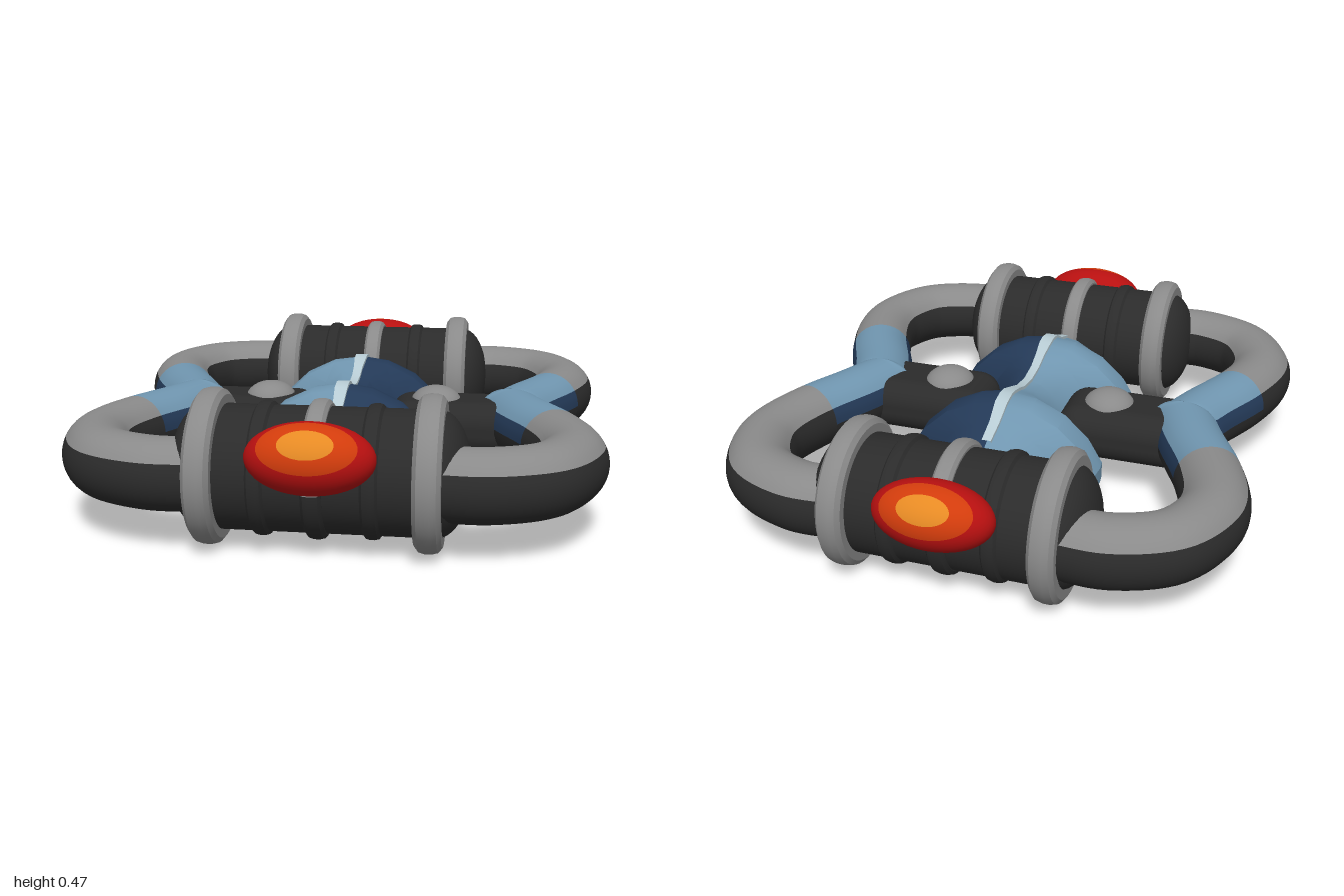
import * as THREE from 'three';
import { toCreasedNormals } from 'three/addons/utils/BufferGeometryUtils.js';
import { RoundedBoxGeometry } from 'three/addons/geometries/RoundedBoxGeometry.js';

const paint = (name, color) => {
  const m = new THREE.MeshStandardMaterial({ color });
  m.name = name;
  return m;
};

// Surface from f(u, v) -> [x, y, z]; flip reverses the facing
function grid(f, us, vs, flip = false) {
  const pos = [], idx = [], n = vs.length;
  us.forEach((u) => vs.forEach((v) => pos.push(...f(u, v))));
  for (let i = 0; i < us.length - 1; i++) {
    for (let j = 0; j < n - 1; j++) {
      const a = i * n + j, b = a + n, c = b + 1, d = a + 1;
      if (flip) idx.push(a, c, b, a, d, c);
      else idx.push(a, b, c, a, c, d);
    }
  }
  const g = new THREE.BufferGeometry();
  g.setAttribute('position', new THREE.Float32BufferAttribute(pos, 3));
  g.setIndex(idx);
  g.computeVertexNormals();
  return g;
}

const range = (a, b, n) => Array.from({ length: n + 1 }, (_, i) => a + ((b - a) * i) / n);

export function createModel() {
  const dark = paint('charcoal', 0x2b2b2b);
  const grey = paint('grey', 0x8a8a8a);
  const blue = paint('lightBlue', 0x7096b0);
  const navy = paint('navy', 0x243a58);
  const pale = paint('paleRidge', 0xb8ccd4);
  const red = paint('red', 0xb81010);
  const amber = paint('orangeRed', 0xd23c0c);
  const orange = paint('orange', 0xe68a24);

  const model = new THREE.Group();
  const add = (parent, name, geo, mat) => {
    const m = new THREE.Mesh(geo, mat);
    m.name = name;
    parent.add(m);
    return m;
  };

  // Turned shape around the x axis; profile is [radius, x] with x rising
  const turned = (profile, start = 0, length = Math.PI * 2) => {
    const g = new THREE.LatheGeometry(profile.map(([r, x]) => new THREE.Vector2(r, x)), 48, start, length);
    return toCreasedNormals(g.rotateZ(-Math.PI / 2), 0.6);
  };
  const band = (x, r, w, inner) => [
    [inner, x - w], [r - w * 0.5, x - w], [r - w * 0.12, x - w * 0.7], [r, x - w * 0.25],
    [r, x + w * 0.25], [r - w * 0.12, x + w * 0.7], [r - w * 0.5, x + w], [inner, x + w],
  ];

  // Two barrels with flanges, ribs and a lamp
  for (const s of [1, -1]) {
    const barrel = new THREE.Group();
    barrel.name = s > 0 ? 'frontBarrel' : 'backBarrel';
    barrel.position.set(0, 0.238, 0.705 * s);
    if (s < 0) barrel.rotation.y = Math.PI;
    model.add(barrel);

    const dome = range(0, Math.PI / 2, 10).map((a) => [0.19 * Math.cos(a), 0.35 + 0.1 * Math.sin(a)]);
    const body = [...dome.map(([r, x]) => [r, -x]).reverse(), ...dome];
    add(barrel, 'barrelBody', turned(body), dark);
    for (const x of [-0.33, 0.33]) add(barrel, 'flange', turned(band(x, 0.237, 0.041, 0.17)), grey);
    for (const x of [-0.165, 0.165]) add(barrel, 'rib', turned(band(x, 0.203, 0.026, 0.18)), dark);
    add(barrel, 'centreRibTop', turned(band(0, 0.213, 0.031, 0.18), Math.PI * 0.97, Math.PI * 1.06), grey);
    add(barrel, 'centreRibBottom', turned(band(0, 0.208, 0.031, 0.18), Math.PI * 0.03, Math.PI * 0.94), dark);

    // Lamp in three colour zones, tipped upward
    const lamp = new THREE.Group();
    lamp.name = 'lamp';
    lamp.position.set(0, 0.087, 0.19);
    lamp.rotation.x = THREE.MathUtils.degToRad(52);
    lamp.scale.set(0.19, 0.106, 0.106);
    barrel.add(lamp);
    const zones = [['lampCentre', 0, 25, orange], ['lampRing', 25, 49, amber], ['lampRim', 49, 180, red]];
    for (const [name, a, b, mat] of zones) {
      const rad = THREE.MathUtils.degToRad;
      add(lamp, name, new THREE.SphereGeometry(1, 40, 16, 0, Math.PI * 2, rad(a), rad(b - a)), mat);
    }
  }

  // Bent side tubes, one quarter mirrored four ways and mitred at z = 0
  const path = new THREE.CatmullRomCurve3([
    [0.36, 0.785], [0.5, 0.785], [0.66, 0.71], [0.74, 0.56],
    [0.745, 0.45], [0.695, 0.285], [0.61, 0.11], [0.54, -0.06],
  ].map(([x, z]) => new THREE.Vector3(x, 0.232, z)));
  const split = 5 / 7, R = 0.112;
  const strips = [
    ['tubeTop', 0, split, 30, 150, grey],
    ['tubeUnderside', 0, split, 150, 390, dark],
    ['sleeveTop', split, 1, 30, 150, blue],
    ['sleeveOuterEdge', split, 1, 0, 30, navy],
    ['sleeveInnerEdge', split, 1, 150, 180, navy],
    ['sleeveUnderside', split, 1, 180, 360, dark],
  ];
  for (const sx of [1, -1]) {
    for (const sz of [1, -1]) {
      const tube = new THREE.Group();
      tube.name = (sz > 0 ? 'front' : 'back') + (sx > 0 ? 'Left' : 'Right') + 'Tube';
      model.add(tube);
      const at = (t, deg) => {
        const p = path.getPoint(t), d = path.getTangent(t), a = THREE.MathUtils.degToRad(deg);
        const c = R * Math.cos(a);
        return [sx * (p.x - d.z * c), p.y + R * Math.sin(a), sz * Math.max(0, p.z + d.x * c)];
      };
      for (const [name, t0, t1, a0, a1, mat] of strips) {
        const geo = grid(at, range(t0, t1, t0 ? 16 : 36), range(a0, a1, Math.round((a1 - a0) / 10)), sx * sz < 0);
        add(tube, name, geo, mat);
      }
    }

    // Inner arm with a round knob
    const arm = add(model, sx > 0 ? 'leftArm' : 'rightArm', new RoundedBoxGeometry(0.48, 0.185, 0.28, 5, 0.08), dark);
    arm.position.set(sx * 0.37, 0.215, 0);
    const knob = add(model, 'knob', new THREE.SphereGeometry(0.09, 28, 16), grey);
    knob.position.set(sx * 0.295, 0.285, 0);
    knob.scale.y = 0.7;
  }

  // Central saddle: stations of [z, half width, ridge height]
  const half = [
    [0, 0.15, 0.34], [0.08, 0.165, 0.35], [0.14, 0.2, 0.372], [0.2, 0.325, 0.392],
    [0.24, 0.33, 0.397], [0.29, 0.325, 0.388], [0.36, 0.23, 0.348], [0.44, 0.19, 0.322], [0.5, 0.07, 0.29],
  ];
  const stations = [...half.slice(1).map(([z, w, h]) => [-z, w, h]).reverse(), ...half];
  const base = 0.12;
  // Close both ends by collapsing a last section
  const closed = [[-0.5, 0, base], ...stations, [0.5, 0, base]];
  // Section points: share of the width, share of the height
  const section = [[0, 1], [0.3, 0.95], [0.6, 0.78], [0.85, 0.5], [1, 0.2], [1, 0]];
  for (const s of [1, -1]) {
    const at = ([z, w, h], [a, b]) => [s * w * a, base + (h - base) * b, z];
    const name = s > 0 ? 'saddleLeft' : 'saddleRight';
    add(model, name, toCreasedNormals(grid(at, closed, section, s < 0), 0.5), s > 0 ? navy : blue);
    add(model, 'saddleBase', grid(at, stations, [[1, 0], [0, 0]], s < 0), navy);
  }

  // Pale crest along the ridge
  const crest = stations.slice(1, -1);
  const crestAt = ([z, w, h], [x, y]) => [x * (0.008 + 0.04 * w), h + y, z];
  const crestSection = [[-1, -0.012], [-1, 0.008], [1, 0.008], [1, -0.012]];
  add(model, 'crest', toCreasedNormals(grid(crestAt, crest, crestSection), 0.6), pale);

  return model;
}
